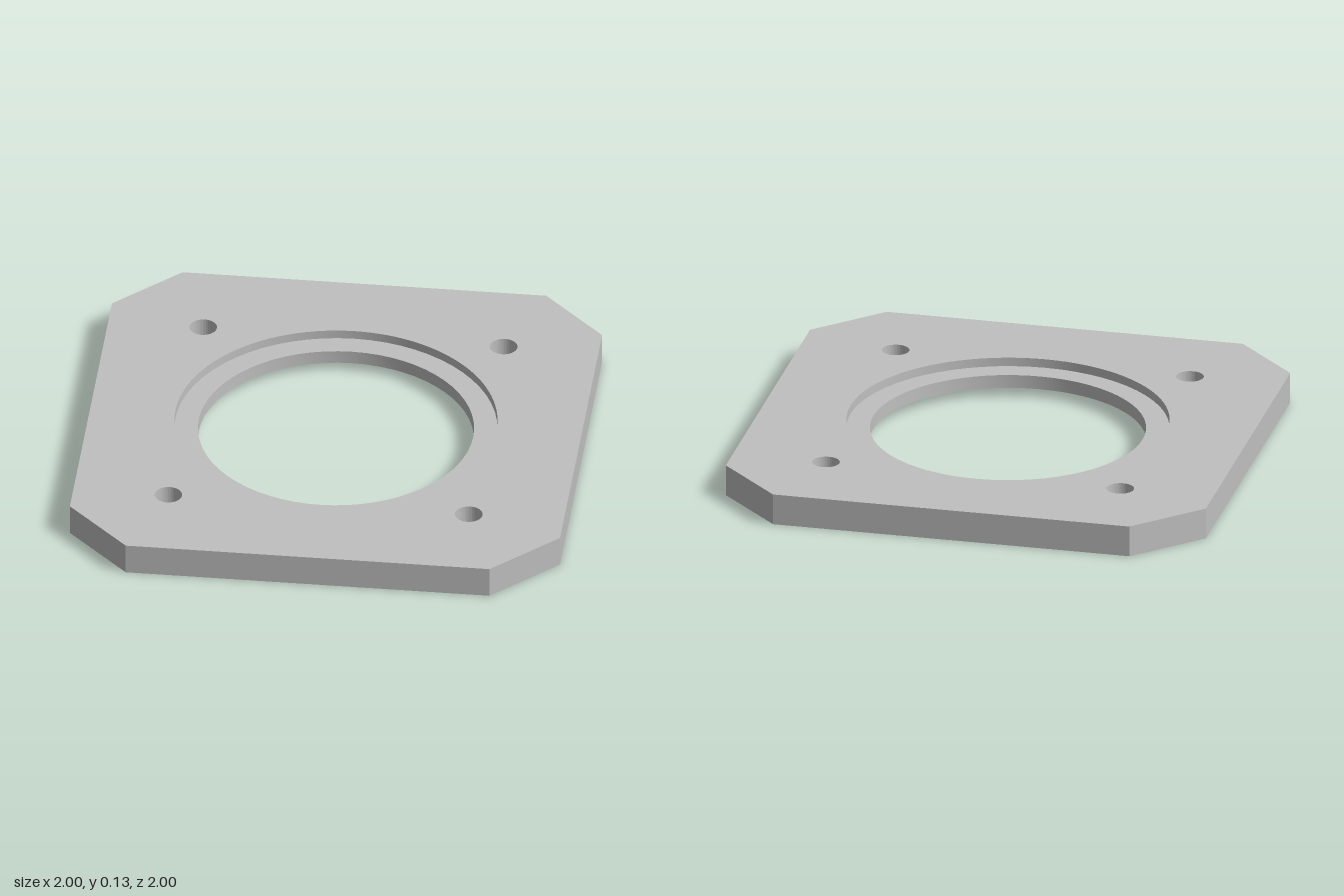
import * as THREE from 'three';
import { toCreasedNormals } from 'three/addons/utils/BufferGeometryUtils.js';

const THICKNESS = 0.13;
const CUT = 0.742; // where the corner chamfers start
const BORE = 0.56;
const RECESS = 0.655;
const LIP_LOW = 0.037;
const LIP_HIGH = 0.093;

function circleHole(x, y, radius) {
  return new THREE.Path().absarc(x, y, radius, 0, Math.PI * 2, true);
}

export function createModel() {
  const model = new THREE.Group();
  model.name = 'mountingPlate';
  const metal = new THREE.MeshStandardMaterial({ color: 0xc0c0c0 });
  metal.name = 'grey metal';

  // Square plate with chamfered corners, a central opening and four bolt holes
  const outline = new THREE.Shape([
    [CUT, -1], [1, -CUT], [1, CUT], [CUT, 1],
    [-CUT, 1], [-1, CUT], [-1, -CUT], [-CUT, -1],
  ].map(([x, y]) => new THREE.Vector2(x, y)));
  outline.holes.push(circleHole(0, 0, RECESS));
  for (const x of [-1, 1]) {
    for (const y of [-1, 1]) outline.holes.push(circleHole(x * 0.613, y * 0.613, 0.056));
  }
  const plateGeometry = new THREE.ExtrudeGeometry(outline, {
    depth: THICKNESS, bevelEnabled: false, curveSegments: 64,
  });
  plateGeometry.rotateX(-Math.PI / 2);
  const plate = new THREE.Mesh(toCreasedNormals(plateGeometry, 0.5), metal);
  plate.name = 'plate';
  model.add(plate);

  // Inner lip, set back from both faces to leave a recess above and below
  const lipProfile = [
    [RECESS, LIP_HIGH], [BORE, LIP_HIGH], [BORE, LIP_LOW], [RECESS, LIP_LOW],
  ].map(([r, y]) => new THREE.Vector2(r, y));
  const lip = new THREE.Mesh(
    toCreasedNormals(new THREE.LatheGeometry(lipProfile, 64), 0.5), metal);
  lip.name = 'innerLip';
  model.add(lip);

  return model;
}
